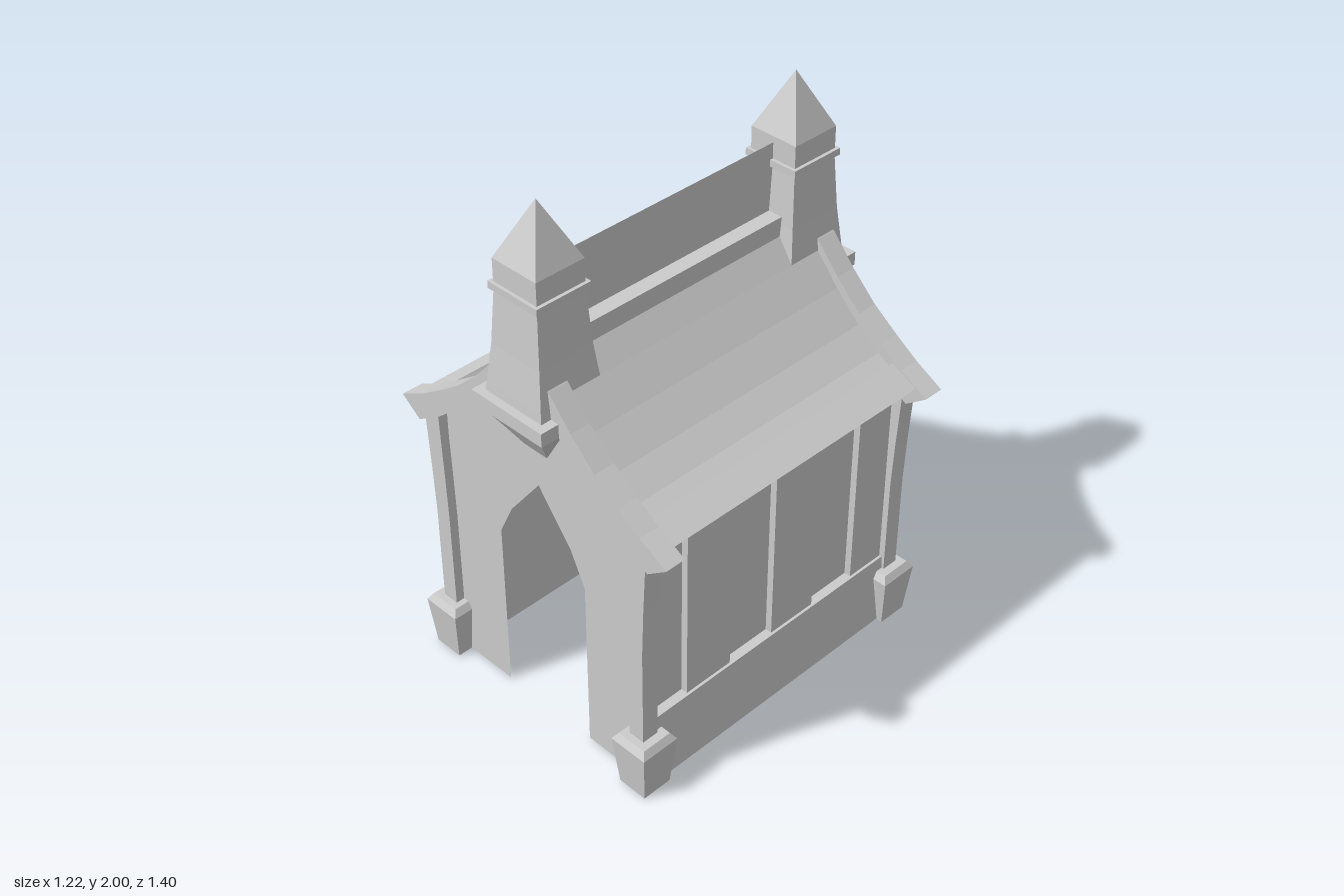
import * as THREE from 'three';
import { ConvexGeometry } from 'three/addons/geometries/ConvexGeometry.js';

const material = new THREE.MeshStandardMaterial({ color: 0xcccccc, flatShading: true });
const thinMaterial = new THREE.MeshStandardMaterial({ color: 0xcccccc, flatShading: true, side: THREE.DoubleSide });

const toShape = (pts) => new THREE.Shape(pts.map(([x, y]) => new THREE.Vector2(x, y)));

function add(parent, name, geometry, x = 0, y = 0, z = 0, mat = material) {
  const mesh = new THREE.Mesh(geometry, mat);
  mesh.name = name;
  mesh.position.set(x, y, z);
  parent.add(mesh);
  return mesh;
}

// Outline in x-y, extruded along z and centred on z = 0
function slab(pts, depth) {
  return new THREE.ExtrudeGeometry(toShape(pts), { depth, bevelEnabled: false }).translate(0, 0, -depth / 2);
}

// Square column from [half width, height] pairs, bottom to top
function squareColumn(profile) {
  const pts = profile.map(([h, y]) => new THREE.Vector2(h * Math.SQRT2, y));
  return new THREE.LatheGeometry(pts, 4, Math.PI / 4);
}

// Closed symmetrical section from the top and underside of its +x half
function mirrored(top, under) {
  const flip = (pts) => pts.map(([x, y]) => [-x, y]);
  return [...flip(top).reverse(), ...top, ...under, ...flip(under).reverse()];
}

// Tower with corbel for the front end
function makeTower() {
  const tower = new THREE.Group();
  tower.name = 'tower';
  add(tower, 'towerShaft', squareColumn([
    [0, 1.3], [0.127, 1.3], [0.122, 1.36], [0.107, 1.5], [0.095, 1.695],
    [0.107, 1.695], [0.107, 1.72], [0.095, 1.72], [0.095, 1.8], [0, 2],
  ]), 0, 0, 0.545);
  add(tower, 'corbelSlab', new THREE.BoxGeometry(0.315, 0.05, 0.14), 0, 1.3, 0.63);
  const corners = [];
  for (const s of [-1, 1]) {
    for (const [x, y, z] of [[0.145, 1.275, 0.56], [0.145, 1.275, 0.69], [0.05, 1.115, 0.56], [0.05, 1.115, 0.592]]) {
      corners.push(new THREE.Vector3(s * x, y, z));
    }
  }
  add(tower, 'corbel', new ConvexGeometry(corners));
  return tower;
}

// Plinth, boards and eave for the +x side
function makeSide() {
  const side = new THREE.Group();
  side.name = 'sideWall';
  add(side, 'sidePlinth', slab([[0.42, 0.005], [0.5, 0.005], [0.48, 0.27], [0.42, 0.27]], 1.17));
  const edges = [0.57, 0.4, 0.2, 0, -0.2, -0.4, -0.57];
  for (let i = 0; i < 6; i++) {
    const thick = i % 2 ? 0.05 : 0.025;
    add(side, 'board', new THREE.BoxGeometry(thick, 0.8, edges[i] - edges[i + 1]),
      0.42 + thick / 2, 0.63, (edges[i] + edges[i + 1]) / 2);
  }
  add(side, 'eaveBoard', slab([[0.465, 1.102], [0.565, 1.05], [0.5, 0.985], [0.41, 1.03]], 1.13));
  return side;
}

export function createModel() {
  const model = new THREE.Group();
  model.name = 'chapel';

  // Front wall with a pointed doorway, and plain back wall
  const gable = [[0.44, 1.04], [0.15, 1.3], [0, 1.42], [-0.15, 1.3], [-0.44, 1.04]];
  add(model, 'frontWall', new THREE.ShapeGeometry(toShape([
    [-0.44, 0], [-0.2, 0], [-0.2, 0.67], [-0.14, 0.795], [0, 0.975],
    [0.14, 0.795], [0.2, 0.67], [0.2, 0], [0.44, 0], ...gable,
  ])), 0, 0, 0.587, thinMaterial);
  add(model, 'backWall', new THREE.ShapeGeometry(toShape([[-0.44, 0.2], [0.44, 0.2], ...gable])),
    0, 0, -0.587, thinMaterial);

  // Back plinth, profile turned to face -z
  add(model, 'backPlinth', slab([[0.56, 0.005], [0.63, 0.005], [0.607, 0.27], [0.56, 0.27]], 0.92))
    .rotation.y = Math.PI / 2;

  // Corner posts and their feet
  const post = slab([
    [0.43, 0.1], [0.493, 0.1], [0.493, 0.6], [0.5, 0.78], [0.512, 1.0], [0.445, 1.06], [0.435, 0.78], [0.43, 0.6],
  ], 0.065);
  const foot = squareColumn([[0, 0], [0.057, 0], [0.075, 0.195], [0.058, 0.22], [0, 0.22]]);
  for (const sx of [-1, 1]) {
    for (const sz of [-1, 1]) {
      add(model, 'cornerPost', post, 0, 0, sz * 0.588).rotation.y = sx < 0 ? Math.PI : 0;
      add(model, 'cornerFoot', foot, sx * 0.465, 0, sz * 0.588);
    }
  }

  // Roof with swept slopes
  const roofTop = [[0.055, 1.46], [0.12, 1.38], [0.21, 1.275], [0.31, 1.178], [0.4, 1.11], [0.5, 1.055]];
  const roofUnder = [[0.46, 1.015], [0.3, 1.11], [0.12, 1.3], [0.04, 1.4]];
  add(model, 'roof', slab(mirrored(roofTop, roofUnder), 1.13));

  // Raised gable trims at both ends
  const trim = slab(mirrored(
    [[0.08, 1.46], [0.12, 1.42], [0.21, 1.318], [0.31, 1.222], [0.41, 1.15], [0.5, 1.09], [0.61, 1.03]],
    [[0.53, 0.97], [0.44, 1.025], [0.3, 1.14], [0.15, 1.28], [0.03, 1.39]],
  ), 0.078);
  for (const sz of [-1, 1]) add(model, 'gableTrim', trim, 0, 0, sz * 0.592);

  // Ridge beam and thin crest between the towers
  add(model, 'ridgeBeam', new THREE.BoxGeometry(0.112, 0.09, 0.96), 0, 1.485, 0);
  add(model, 'ridgeCrest', new THREE.PlaneGeometry(0.94, 0.26).rotateY(Math.PI / 2), 0, 1.648, 0, thinMaterial);

  // Sides and towers repeat with a half turn
  for (const angle of [0, Math.PI]) {
    for (const part of [makeSide(), makeTower()]) {
      part.rotation.y = angle;
      model.add(part);
    }
  }
  return model;
}
